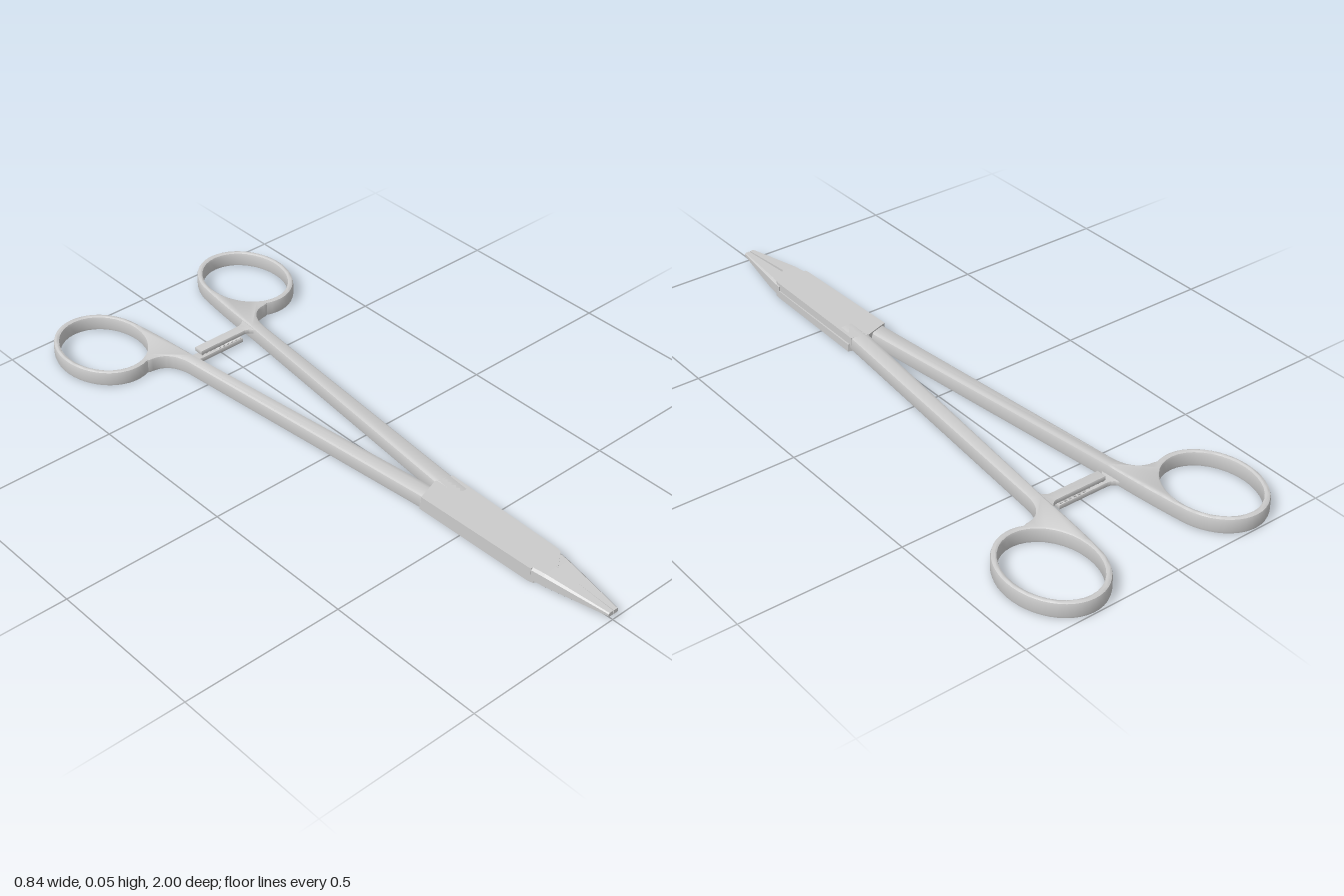
import * as THREE from 'three';
import { toCreasedNormals } from 'three/addons/utils/BufferGeometryUtils.js';

const HEIGHT = 0.05;
const metal = new THREE.MeshStandardMaterial({ color: 0xcccccc });

function part(name, geometry) {
  const mesh = new THREE.Mesh(geometry, metal);
  mesh.name = name;
  return mesh;
}

// Extrude an outline drawn in (x, z) so that it fills y0..y1.
function slab(shape, y0, y1, bevelSize = 0, bevelThickness = 0) {
  const geometry = new THREE.ExtrudeGeometry(shape, {
    depth: y1 - y0 - 2 * bevelThickness,
    curveSegments: 18,
    bevelEnabled: bevelSize > 0,
    bevelSize, bevelThickness, bevelOffset: -bevelSize, bevelSegments: 2,
  });
  geometry.rotateX(Math.PI / 2);
  return geometry.translate(0, y1 - bevelThickness, 0);
}

// Flat-sided solid through cross-sections of equal point count along z.
function loft(sections) {
  const n = sections[0].length, pos = [];
  const tri = (...points) => points.forEach((p) => pos.push(...p));
  for (let s = 0; s < sections.length - 1; s++) {
    for (let i = 0; i < n; i++) {
      const j = (i + 1) % n;
      const [a, b, c, d] = [sections[s][i], sections[s][j], sections[s + 1][j], sections[s + 1][i]];
      tri(a, b, c);
      tri(a, c, d);
    }
  }
  const first = sections[0], last = sections[sections.length - 1];
  for (let i = 1; i < n - 1; i++) {
    tri(first[0], first[i + 1], first[i]);
    tri(last[0], last[i], last[i + 1]);
  }
  const geometry = new THREE.BufferGeometry();
  geometry.setAttribute('position', new THREE.Float32BufferAttribute(pos, 3));
  geometry.computeVertexNormals();
  return geometry;
}

// Finger ring and shank in one piece.
function handleGeometry() {
  const cx = 0.278, cz = -0.828;
  const shape = new THREE.Shape();
  shape.moveTo(0.056, 0.42);
  shape.lineTo(0.062, 0.345);
  shape.lineTo(0.146, -0.56);
  shape.quadraticCurveTo(0.152, -0.66, 0.225, -0.662);
  shape.absellipse(cx, cz, 0.14, 0.172, 1.9, -2.88, true);
  shape.quadraticCurveTo(0.122, -0.74, 0.112, -0.6);
  shape.lineTo(0.007, 0.33);
  shape.lineTo(0.007, 0.42);
  shape.closePath();
  const hole = new THREE.Path();
  hole.absellipse(cx, cz, 0.122, 0.152, 0, Math.PI * 2, false);
  shape.holes.push(hole);

  const geometry = slab(shape, 0, HEIGHT, 0.007, 0.01);
  // Lift the underside slightly where the shank meets the lower lock plate.
  const p = geometry.attributes.position;
  for (let i = 0; i < p.count; i++) {
    if (p.getZ(i) > 0.2 && p.getY(i) < 0.025) p.setY(i, p.getY(i) + 0.004);
  }
  return toCreasedNormals(geometry, 0.6);
}

// Ratchet bar flaring into the shank.
function ratchetShape() {
  const shape = new THREE.Shape();
  shape.moveTo(0.128, -0.675);
  shape.quadraticCurveTo(0.116, -0.63, 0.085, -0.63);
  shape.lineTo(-0.08, -0.63);
  shape.lineTo(-0.08, -0.598);
  shape.lineTo(0.085, -0.598);
  shape.quadraticCurveTo(0.112, -0.598, 0.122, -0.545);
  shape.closePath();
  return shape;
}

// Crossing plate of the box lock.
function plateShape() {
  return new THREE.Shape([
    [-0.068, 0.355], [-0.01, 0.336], [0.007, 0.33], [0.063, 0.345], [0.055, 0.75],
    [0.051, 0.765], [0, 0.805], [-0.01, 0.76], [-0.0565, 0.76], [-0.058, 0.75],
  ].map(([x, z]) => new THREE.Vector2(x, z)));
}

// Jaw section: flat inner face, chamfered outer edges.
function jawSection(z, outer, low, high, chamfer) {
  const inner = -0.0015;
  return [
    [inner, low, z], [inner, high, z],
    [outer + chamfer, high, z], [outer, high - chamfer, z],
    [outer, low + chamfer, z], [outer + chamfer, low, z],
  ];
}

function createHalf(name) {
  const half = new THREE.Group();
  half.name = name;
  half.add(part('handle', handleGeometry()));
  half.add(part('ratchetBar', toCreasedNormals(slab(ratchetShape(), 0.03, 0.045, 0.002, 0.002), 0.6)));

  // Ratchet teeth under the bar.
  for (let i = 0; i < 6; i++) {
    const x = -0.076 + i * 0.016;
    const tooth = new THREE.Shape();
    tooth.moveTo(x, 0.031);
    tooth.lineTo(x, 0.0255);
    tooth.lineTo(x + 0.014, 0.031);
    const geometry = new THREE.ExtrudeGeometry(tooth, { depth: 0.026, bevelEnabled: false });
    half.add(part('ratchetTooth', geometry.translate(0, 0, -0.627)));
  }

  half.add(part('lockPlate', slab(plateShape(), HEIGHT / 2, HEIGHT)));
  half.add(part('jaw', loft([
    jawSection(0.74, -0.058, 0.005, HEIGHT, 0.006),
    jawSection(0.8, -0.051, 0.005, HEIGHT, 0.007),
    jawSection(1, -0.018, 0.019, 0.032, 0.003),
  ])));
  return half;
}

export function createModel() {
  const model = new THREE.Group();
  model.name = 'lockingForceps';
  const upper = createHalf('upperHalf');
  // The second half is the first one turned over about the long axis.
  const lower = createHalf('lowerHalf');
  lower.rotation.z = Math.PI;
  lower.position.y = HEIGHT;
  model.add(upper, lower);
  return model;
}
